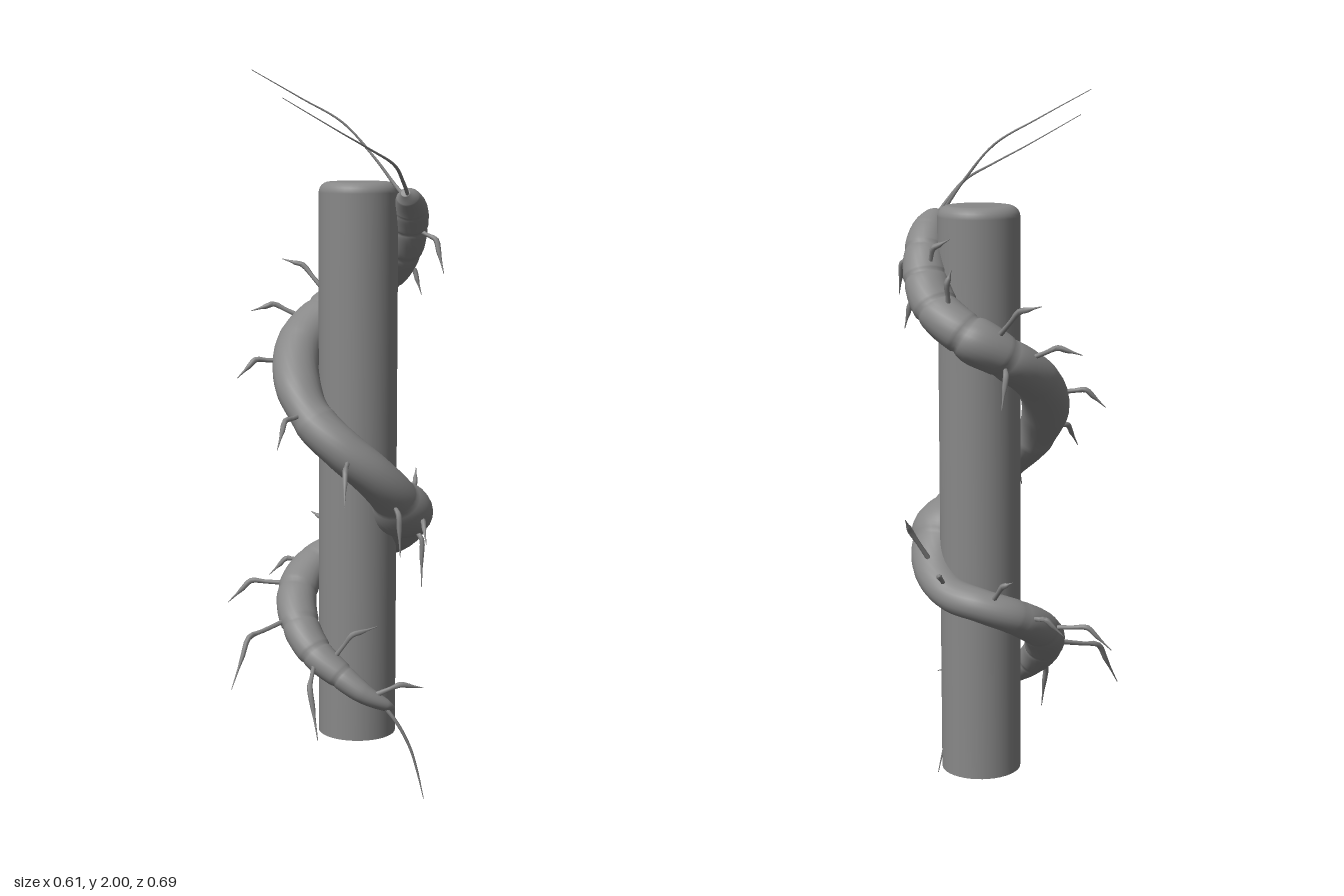
import * as THREE from 'three';

const material = new THREE.MeshStandardMaterial({ color: 0x888888 });
const POLE = { x: 0.063, z: -0.12, r: 0.11, bottom: 0.13, top: 1.7 };

const curveThrough = pts => new THREE.CatmullRomCurve3(pts.map(p => new THREE.Vector3(p[0], p[1], p[2])));

// Sweep an oval section through [x, y, z, radius] points.
// width scales the section away from the pole, height scales it along the pole.
function sweep(name, pts, { steps = 6, sides = 6, width = 1, height = 1, swell = () => 1 } = {}) {
  const path = curveThrough(pts);
  const radii = curveThrough(pts.map(p => [p[3], 0, 0]));
  const rings = (pts.length - 1) * steps;
  const pos = [], index = [];
  for (let i = 0; i <= rings; i++) {
    const t = i / rings;
    const c = path.getPoint(t);
    const tangent = path.getPoint(Math.min(1, t + 1e-3)).sub(path.getPoint(Math.max(0, t - 1e-3))).normalize();
    const n = new THREE.Vector3(c.x - POLE.x, 0, c.z - POLE.z).normalize();
    n.addScaledVector(tangent, -n.dot(tangent));
    if (n.length() < 0.25) n.set(0, 1, 0).addScaledVector(tangent, -tangent.y);
    n.normalize();
    const b = new THREE.Vector3().crossVectors(tangent, n);
    const r = Math.max(0.0008, radii.getPoint(t).x) * swell(t * (pts.length - 1));
    for (let j = 0; j < sides; j++) {
      const a = (j / sides) * Math.PI * 2;
      const p = c.clone().addScaledVector(n, Math.cos(a) * r * width).addScaledVector(b, Math.sin(a) * r * height);
      pos.push(p.x, p.y, p.z);
      if (i < rings) {
        const k = (j + 1) % sides, lo = i * sides, hi = lo + sides;
        index.push(lo + j, lo + k, hi + j, lo + k, hi + k, hi + j);
      }
    }
  }
  // end caps
  const last = rings * sides;
  for (let j = 1; j < sides - 1; j++) index.push(0, j + 1, j, last, last + j, last + j + 1);
  const g = new THREE.BufferGeometry();
  g.setAttribute('position', new THREE.Float32BufferAttribute(pos, 3));
  g.setIndex(index);
  g.computeVertexNormals();
  const mesh = new THREE.Mesh(g, material);
  mesh.name = name;
  return mesh;
}

// Round pole with a softened top edge
function makePole() {
  const { r, bottom, top } = POLE, bevel = 0.03;
  const profile = [new THREE.Vector2(r, bottom)];
  for (let i = 0; i <= 6; i++) {
    const a = (i / 6) * Math.PI / 2;
    profile.push(new THREE.Vector2(r - bevel + Math.cos(a) * bevel, top - bevel + Math.sin(a) * bevel));
  }
  profile.push(new THREE.Vector2(0, top));
  const pole = new THREE.Group();
  pole.name = 'pole';
  const shaft = new THREE.Mesh(new THREE.LatheGeometry(profile, 40), material);
  shaft.name = 'poleShaft';
  const base = new THREE.Mesh(new THREE.CircleGeometry(r, 40), material);
  base.name = 'poleBase';
  base.rotation.x = Math.PI / 2;
  base.position.y = bottom;
  pole.add(shaft, base);
  pole.position.set(POLE.x, 0, POLE.z);
  return pole;
}

// Body spiral from head to tail: [degrees turned, height, radius].
// It hugs the pole more tightly low at the back, and the tail swings away.
const BODY = [
  [-13, 1.672, 0.012], [-6, 1.66, 0.03], [8, 1.63, 0.044], [24, 1.58, 0.05], [42, 1.51, 0.056],
  [65, 1.44, 0.058], [98, 1.38, 0.06], [134, 1.32, 0.06], [175, 1.24, 0.06], [212, 1.14, 0.06],
  [244, 1.05, 0.06], [274, 0.98, 0.061], [303, 0.91, 0.063], [332, 0.835, 0.066], [365, 0.76, 0.066],
  [395, 0.7, 0.058], [430, 0.66, 0.05], [471, 0.64, 0.048], [506, 0.605, 0.051], [545, 0.54, 0.052],
  [577, 0.465, 0.05], [604, 0.4, 0.046], [633, 0.345, 0.038], [654, 0.3, 0.029], [670, 0.268, 0.018],
  [677, 0.255, 0.006],
].map(([turn, y, r]) => {
  const a = THREE.MathUtils.degToRad(turn);
  const reach = 1 - 0.2 * Math.exp(-(((turn - 430) / 70) ** 2)) + 0.3 * THREE.MathUtils.smoothstep(turn, 620, 675);
  return [0.05 + 0.158 * reach * Math.cos(a), y, -0.105 - 0.175 * reach * Math.sin(a), r];
});

// Overlapping plates towards both ends, smooth in the middle
function plates(s) {
  const strength = (s > 2 && s < 8) || (s > 18 && s < 23) ? 0.08 : 0;
  const f = s % 1;
  return 1 - strength * Math.exp(-Math.min(f, (1 - f) * 3) * 9) + strength * 0.3;
}

// Legs: [place along the body, tip x, tip y, tip z]
const LEGS = [
  [3, 0.303, 1.45, -0.12], [4.4, 0.22, 1.38, -0.25], [5.5, 0.05, 1.55, -0.315], [4, 0.09, 1.62, -0.24],
  [6.6, -0.2, 1.47, -0.31], [7, -0.1, 1.2, -0.335], [7.3, -0.26, 1.33, -0.18], [8.4, -0.255, 1.16, 0],
  [9.7, -0.09, 1, 0.21], [11.2, 0.1, 0.86, 0.245], [12.6, 0.22, 0.69, 0.07], [13.6, 0.26, 0.58, -0.05],
  [13.8, 0.285, 0.72, 0.03], [15, 0.2, 0.87, -0.3], [15.8, 0.09, 0.73, -0.32], [17.2, -0.11, 0.73, -0.29],
  [18, -0.21, 0.56, -0.175], [18.8, -0.305, 0.5, -0.065], [19.7, -0.23, 0.32, 0.18],
  [21, 0.02, 0.2, 0.21], [21.5, 0.15, 0.48, 0.03], [23.2, 0.285, 0.32, 0.055],
];

// Slim upper joint, knee raised away from the pole, thicker lower joint, pointed tip
function makeLeg([s, ...end], i) {
  const base = curveThrough(BODY).getPoint(s / (BODY.length - 1));
  const tip = new THREE.Vector3(...end);
  const outward = new THREE.Vector3(base.x - POLE.x, 0, base.z - POLE.z).normalize();
  const bend = 0.18 * base.distanceTo(tip);
  const knee = base.clone().lerp(tip, 0.55).addScaledVector(outward, bend * 0.7);
  knee.y += bend;
  const between = (a, b, t, r) => [...a.clone().lerp(b, t).toArray(), r];
  return sweep('leg' + (i + 1), [
    between(base, knee, 0, 0.009), between(base, knee, 0.7, 0.006), between(knee, tip, 0, 0.008),
    between(knee, tip, 0.35, 0.007), between(knee, tip, 0.6, 0.0035), between(knee, tip, 1, 0.001),
  ], { steps: 3 });
}

export function createModel() {
  const model = new THREE.Group();
  model.name = 'creatureOnPole';
  model.add(makePole());
  model.add(sweep('body', BODY, { steps: 14, sides: 24, width: 1.08, height: 0.94, swell: plates }));

  const legs = new THREE.Group();
  legs.name = 'legs';
  legs.add(...LEGS.map(makeLeg));
  model.add(legs);

  // Long feelers on the head and a trailing one at the tail
  model.add(sweep('antennaBack', [
    [0.2, 1.66, -0.08, 0.006], [0.17, 1.69, -0.098, 0.005], [0.11, 1.765, -0.107, 0.004],
    [0.02, 1.86, -0.11, 0.003], [-0.09, 1.925, -0.085, 0.002], [-0.21, 2, -0.01, 0.001],
  ]));
  model.add(sweep('antennaFront', [
    [0.21, 1.66, -0.08, 0.006], [0.208, 1.7, -0.01, 0.005], [0.2, 1.75, 0.09, 0.004],
    [0.155, 1.79, 0.18, 0.003], [0.09, 1.835, 0.255, 0.002], [-0.04, 1.92, 0.34, 0.001],
  ]));
  model.add(sweep('tailFeeler', [
    [0.17, 0.275, 0.075, 0.007], [0.215, 0.22, 0.075, 0.005], [0.25, 0.15, 0.067, 0.004],
    [0.27, 0.08, 0.06, 0.003], [0.288, 0.001, 0.058, 0.001],
  ]));
  return model;
}
